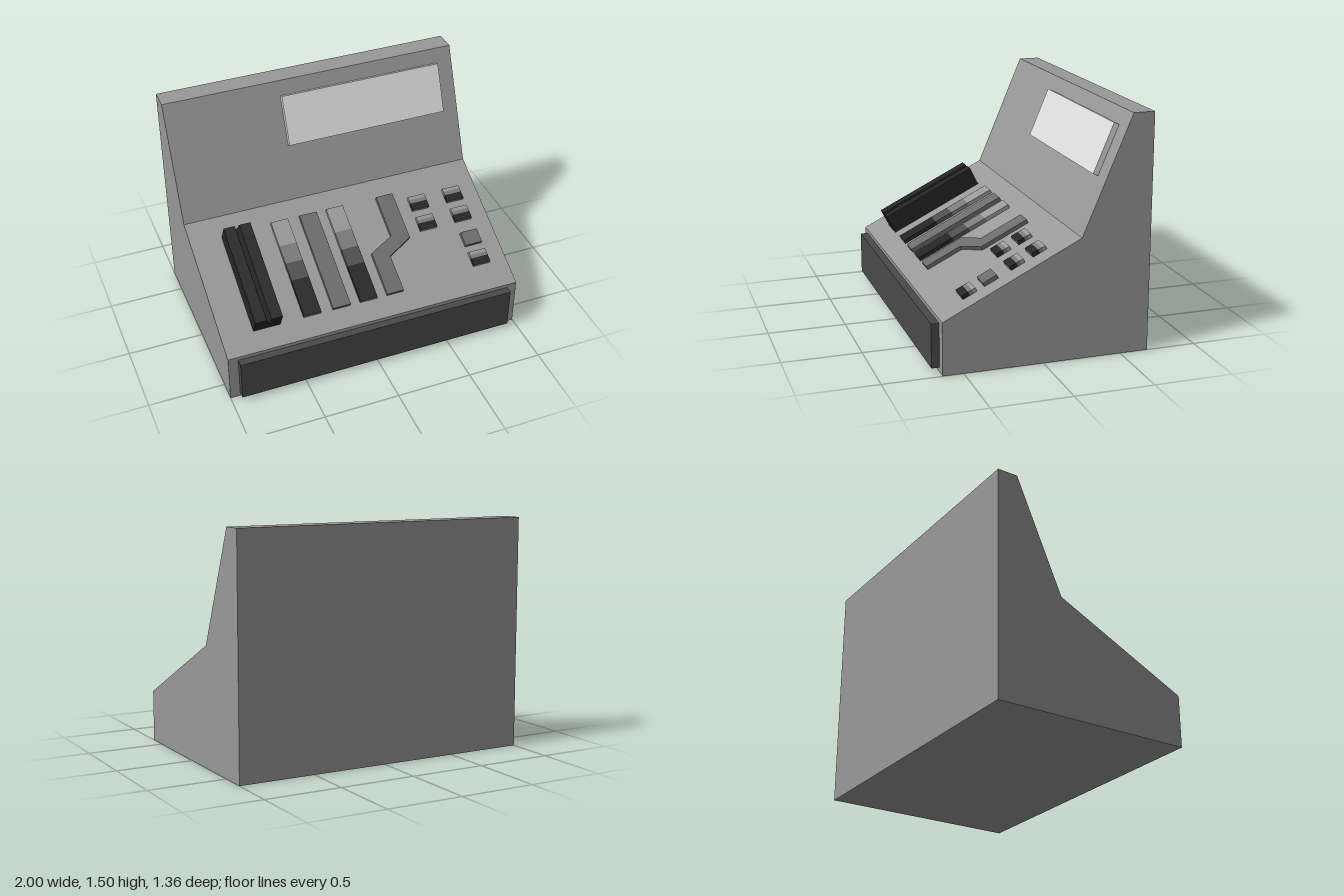
import * as THREE from 'three';

const mat = (name, color) => {
  const m = new THREE.MeshStandardMaterial({ color });
  m.name = name;
  return m;
};

export function createModel() {
  const model = new THREE.Group();
  model.name = 'cashRegister';
  const casing = mat('casing grey', 0x999999);
  const screenMat = mat('screen pale grey', 0xe0e0e0);
  const drawerMat = mat('drawer dark grey', 0x4a4a4a);
  const keyMat = mat('key grey', 0x6c6c6c);
  const midMat = mat('band mid grey', 0x7a7a7a);
  const darkMat = mat('band dark grey', 0x4e4e4e);
  const black = mat('black', 0x252525);

  const add = (parent, name, geo, material, x = 0, y = 0, z = 0) => {
    const m = new THREE.Mesh(geo, material);
    m.name = name;
    m.position.set(x, y, z);
    parent.add(m);
    return m;
  };
  const extrude = (points, depth) => new THREE.ExtrudeGeometry(
    new THREE.Shape(points.map(([x, y]) => new THREE.Vector2(x, y))),
    { depth, bevelEnabled: false });

  // Casing: side profile (z, y) extruded across x
  const profile = [[-0.68, 0], [0.63, 0], [0.63, 0.335], [-0.235, 0.765], [-0.545, 1.5], [-0.68, 1.5]];
  const body = extrude(profile.map(([z, y]) => [-z, y]), 2);
  body.rotateY(Math.PI / 2).translate(-1, 0, 0);
  add(model, 'casing', body, casing);

  // Cash drawer
  add(model, 'drawer', new THREE.BoxGeometry(1.87, 0.28, 0.05), drawerMat, 0, 0.17, 0.655);

  // Display on the steep upper face
  const screen = add(model, 'screen', new THREE.BoxGeometry(1.11, 0.33, 0.035), screenMat, 0.33, 1.264, -0.424);
  screen.rotation.x = -Math.atan2(0.31, 0.735);

  // Sloped key panel: local y is the panel normal, local z runs down the slope
  const panel = new THREE.Group();
  panel.name = 'keyPanel';
  panel.position.set(0, 0.55, 0.1975);
  panel.rotation.x = Math.atan2(0.43, 0.865);
  model.add(panel);
  const H = 0.025;
  const slope = (z) => (z - 0.2075) / 0.895;

  // Card reader: block with a V groove along its length
  const reader = extrude([[-0.09, 0], [0.09, 0], [0.09, 0.13], [0.016, 0.13],
    [0, 0.07], [-0.016, 0.13], [-0.09, 0.13]], 0.675);
  add(panel, 'cardReader', reader, black, -0.7, 0, -0.332);

  // Keys built from bands down the slope; their end faces stay light
  const bandedKey = (name, x, width, edges, mats) => {
    const g = new THREE.Group();
    g.name = name;
    panel.add(g);
    mats.forEach((m, i) => {
      const a = slope(edges[i]), b = slope(edges[i + 1]);
      const back = i === 0 ? casing : m;
      const front = i === mats.length - 1 ? casing : m;
      add(g, name + 'Band', new THREE.BoxGeometry(width, H, b - a),
        [m, m, m, m, front, back], x, H / 2, (a + b) / 2);
    });
  };
  for (const x of [-0.395, -0.008]) {
    bandedKey('stripedKey', x, 0.118, [-0.1, 0.06, 0.175, 0.285, 0.513], [casing, midMat, darkMat, black]);
  }

  // Plain and dog-leg keys
  const flatKey = (name, points) => {
    const geo = extrude(points.map(([x, z]) => [x, -slope(z)]), H);
    geo.rotateX(-Math.PI / 2);
    add(panel, name, geo, keyMat);
  };
  flatKey('plainKey', [[-0.255, 0.513], [-0.135, 0.513], [-0.135, -0.1], [-0.255, -0.1]]);
  flatKey('dogLegKey', [[0.12, 0.513], [0.235, 0.513], [0.235, 0.288], [0.41, 0.203],
    [0.41, -0.1], [0.291, -0.1], [0.291, 0.165], [0.12, 0.243]]);

  // Small buttons
  const button = (x, z) => bandedKey('button', x, 0.12,
    [z, z + 0.022, z + 0.044, z + 0.088], [casing, midMat, black]);
  for (const [x, z] of [[0.563, -0.05], [0.563, 0.088], [0.818, -0.05], [0.818, 0.088], [0.818, 0.388]]) button(x, z);
  flatKey('plainButton', [[0.758, 0.342], [0.878, 0.342], [0.878, 0.254], [0.758, 0.254]]);

  return model;
}
